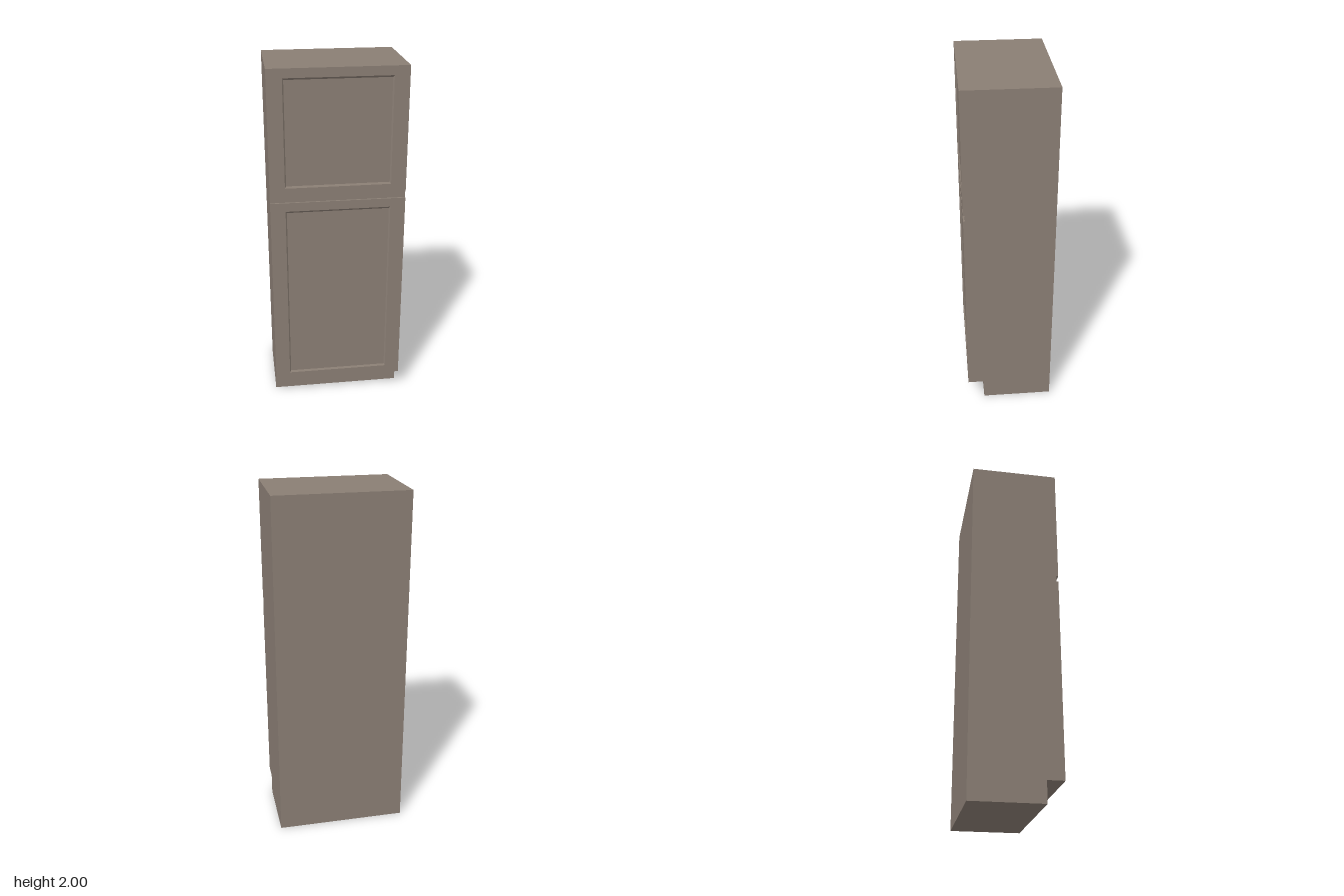
import * as THREE from 'three';

const W = 0.746, FRONT = 0.25, BODY = 0.24, BACK = -0.248;

// Door front: rectangular rings joined in steps, closed by the recessed panel
function doorGeometry(y0, y1) {
  const ring = (inX, inBottom, inTop, z) => {
    const x = W / 2 - inX, b = y0 + inBottom, t = y1 - inTop;
    return [[-x, b, z], [x, b, z], [x, t, z], [-x, t, z]];
  };
  const rings = [
    ring(0, 0, 0, BODY),
    ring(0, 0, 0, FRONT),
    ring(0.083, 0.05, 0.05, FRONT),
    ring(0.09, 0.06, 0.06, FRONT - 0.007),
  ];
  const pos = [];
  const quad = (a, b, c, d) => pos.push(...a, ...b, ...c, ...a, ...c, ...d);
  for (let r = 0; r < rings.length - 1; r++) {
    for (let i = 0; i < 4; i++) {
      const j = (i + 1) % 4;
      quad(rings[r][i], rings[r][j], rings[r + 1][j], rings[r + 1][i]);
    }
  }
  quad(...rings[rings.length - 1]);
  const g = new THREE.BufferGeometry();
  g.setAttribute('position', new THREE.Float32BufferAttribute(pos, 3));
  g.computeVertexNormals();
  return g;
}

export function createModel() {
  const group = new THREE.Group();
  group.name = 'tallCabinet';
  const material = new THREE.MeshStandardMaterial({ color: 0x8a7e74 });
  const add = (name, geometry) => {
    const mesh = new THREE.Mesh(geometry, material);
    mesh.name = name;
    group.add(mesh);
  };

  // Carcass: side profile with a toe-kick notch, extruded across the width
  const profile = new THREE.Shape([
    [BACK, 0], [0.155, 0], [0.155, 0.12], [BODY, 0.12], [BODY, 2], [BACK, 2],
  ].map(([z, y]) => new THREE.Vector2(-z, y)));
  const carcass = new THREE.ExtrudeGeometry(profile, { depth: W, bevelEnabled: false });
  carcass.translate(0, 0, -W / 2).rotateY(Math.PI / 2);
  add('carcass', carcass);

  // Two doors with a gap between them
  add('lowerDoor', doorGeometry(0.12, 1.27));
  add('upperDoor', doorGeometry(1.305, 2));
  return group;
}
